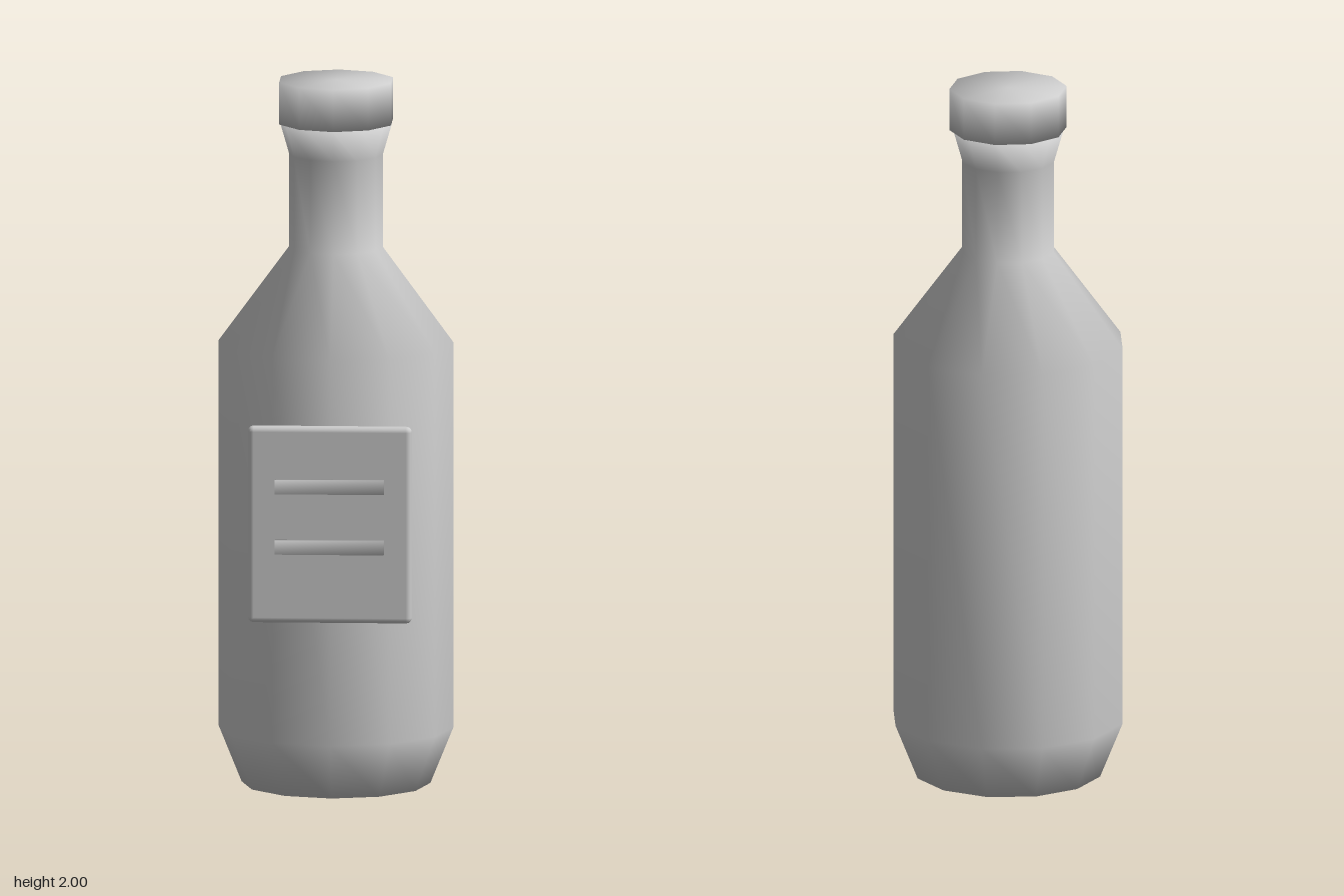
import * as THREE from 'three';
import { mergeVertices } from 'three/addons/utils/BufferGeometryUtils.js';
import { RoundedBoxGeometry } from 'three/addons/geometries/RoundedBoxGeometry.js';

export function createModel() {
  const group = new THREE.Group();
  const grey = new THREE.MeshStandardMaterial({ color: 0xcccccc });
  grey.name = 'grey';

  const add = (name, geometry, x, y, z) => {
    const mesh = new THREE.Mesh(geometry, grey);
    mesh.name = name;
    mesh.position.set(x, y, z);
    group.add(mesh);
  };
  const lathe = (profile, sides) =>
    new THREE.LatheGeometry(profile.map(([r, y]) => new THREE.Vector2(r, y)), sides);

  // Bottle with tapered foot, sloped shoulder and flared neck
  add('bottleBody', lathe([
    [0, 0], [0.265, 0], [0.33, 0.16], [0.33, 1.255],
    [0.132, 1.525], [0.132, 1.79], [0.158, 1.88], [0, 1.88],
  ], 12), 0, 0, -0.03);

  // Ten-sided cap
  add('cap', lathe([[0, 1.88], [0.165, 1.88], [0.165, 2], [0, 2]], 10), 0, 0, -0.03);

  // Rounded label plate on the front
  add('label', new RoundedBoxGeometry(0.46, 0.56, 0.035, 2, 0.016), 0, 0.795, 0.3155);

  // Softly shaded bars in front of the label
  for (const y of [0.735, 0.907]) {
    let bar = new THREE.BoxGeometry(0.306, 0.04, 0.016);
    bar.deleteAttribute('normal');
    bar.deleteAttribute('uv');
    bar = mergeVertices(bar);
    bar.computeVertexNormals();
    add('labelBar', bar, 0, y, 0.35);
  }
  return group;
}
